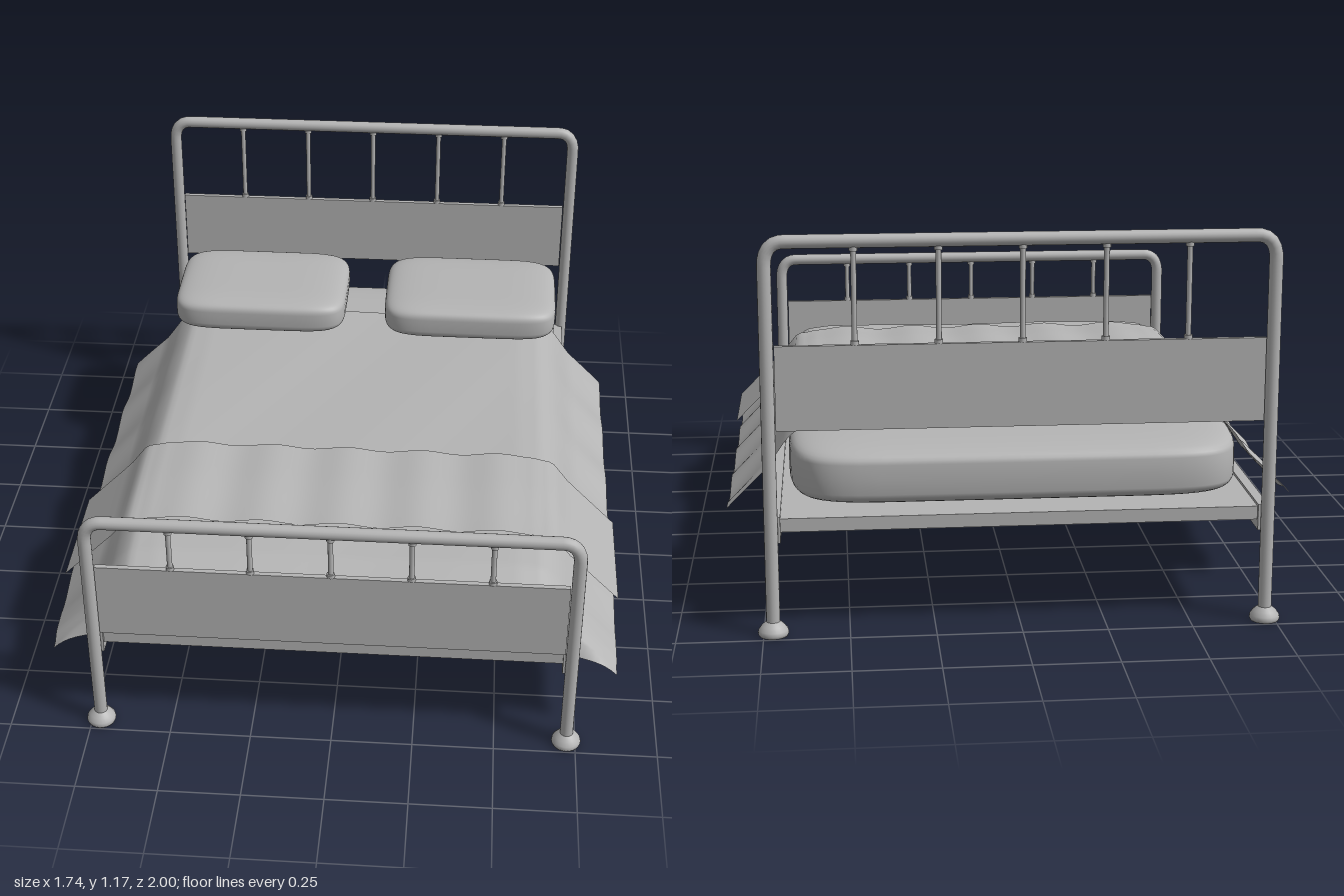
import * as THREE from 'three';
import { mergeVertices } from 'three/addons/utils/BufferGeometryUtils.js';

const grey = new THREE.MeshStandardMaterial({ color: 0xb4b4b4, side: THREE.DoubleSide });
grey.name = 'warmGrey';

function add(parent, name, geometry, x = 0, y = 0, z = 0) {
  const mesh = new THREE.Mesh(geometry, grey);
  mesh.name = name;
  mesh.position.set(x, y, z);
  parent.add(mesh);
  return mesh;
}

// Soft rounded cushion: a sphere squared off by a power rule
function cushion(w, h, d, side, plan) {
  const sp = (v, e) => Math.sign(v) * Math.pow(Math.abs(v), e);
  let geo = new THREE.SphereGeometry(1, 64, 32);
  const p = geo.attributes.position;
  for (let i = 0; i < p.count; i++) {
    const x = p.getX(i), y = p.getY(i), z = p.getZ(i);
    const r = Math.hypot(x, z), k = r < 1e-5 ? 0 : sp(r, side);
    const c = r < 1e-5 ? 0 : x / r, s = r < 1e-5 ? 0 : z / r;
    p.setXYZ(i, k * sp(c, plan) * w / 2, sp(y, side) * h / 2, k * sp(s, plan) * d / 2);
  }
  geo.deleteAttribute('uv');
  geo.deleteAttribute('normal');
  geo = mergeVertices(geo, 1e-4);
  geo.computeVertexNormals();
  return geo;
}

// Linear lookup through [input, output] pairs
function lookup(points, t) {
  for (let i = 1; i < points.length; i++) {
    const [a, va] = points[i - 1], [b, vb] = points[i];
    if (t <= b) return va + (vb - va) * Math.max(0, (t - a) / (b - a));
  }
  return points[points.length - 1][1];
}

// Draped cloth: flat grid lifted by a height rule
function cloth(halfWidth, z0, z1, nx, nz, height) {
  const geo = new THREE.PlaneGeometry(halfWidth * 2, z1 - z0, nx, nz);
  geo.rotateX(-Math.PI / 2);
  geo.translate(0, 0, (z0 + z1) / 2);
  const p = geo.attributes.position;
  for (let i = 0; i < p.count; i++) p.setY(i, height(p.getX(i), p.getZ(i)));
  geo.computeVertexNormals();
  return geo;
}

// Bent tube end frame with feet, panel and spindles
function endFrame(name, z, top, panelBottom, panelTop) {
  const g = new THREE.Group();
  g.name = name;
  g.position.z = z;
  const v = (x, y) => new THREE.Vector3(x, y, 0);
  const path = new THREE.CurvePath();
  const px = 0.722, rail = top - 0.02;
  path.add(new THREE.LineCurve3(v(-px, 0.02), v(-px, rail - 0.06)));
  path.add(new THREE.QuadraticBezierCurve3(v(-px, rail - 0.06), v(-px + 0.004, rail - 0.004), v(-px + 0.05, rail)));
  path.add(new THREE.LineCurve3(v(-px + 0.05, rail), v(px - 0.05, rail)));
  path.add(new THREE.QuadraticBezierCurve3(v(px - 0.05, rail), v(px - 0.004, rail - 0.004), v(px, rail - 0.06)));
  path.add(new THREE.LineCurve3(v(px, rail - 0.06), v(px, 0.02)));
  add(g, 'tubeFrame', new THREE.TubeGeometry(path, 200, 0.02, 16));

  const footProfile = [[0, 0], [0.042, 0], [0.045, 0.008], [0.043, 0.018], [0.034, 0.03], [0.025, 0.038], [0.02, 0.042]]
    .map(([x, y]) => new THREE.Vector2(x, y));
  for (const s of [-1, 1]) add(g, 'foot', new THREE.LatheGeometry(footProfile, 24), s * px, 0, 0);

  add(g, 'panel', new THREE.BoxGeometry(1.4, panelTop - panelBottom, 0.016), 0, (panelTop + panelBottom) / 2, 0);
  for (let i = -2; i <= 2; i++) {
    const len = rail - panelTop;
    add(g, 'spindle', new THREE.CylinderGeometry(0.008, 0.008, len, 12), i * 0.237, panelTop + len / 2, 0);
    add(g, 'spindleCollar', new THREE.CylinderGeometry(0.012, 0.012, 0.012, 12), i * 0.237, rail - 0.022, 0);
    add(g, 'spindleCollar', new THREE.CylinderGeometry(0.012, 0.012, 0.012, 12), i * 0.237, panelTop + 0.006, 0);
  }
  return g;
}

export function createModel() {
  const bed = new THREE.Group();
  bed.name = 'bed';
  bed.add(endFrame('headboard', -0.955, 1.17, 0.61, 0.855));
  bed.add(endFrame('footboard', 0.955, 0.79, 0.36, 0.61));

  // Base platform and side rails
  add(bed, 'basePlatform', new THREE.BoxGeometry(1.39, 0.04, 1.88), 0, 0.325, 0);
  for (const s of [-1, 1]) add(bed, 'sideRail', new THREE.BoxGeometry(0.03, 0.078, 1.9), s * 0.71, 0.314, 0);

  add(bed, 'mattress', cushion(1.35, 0.2, 1.8, 0.35, 0.22), 0, 0.445, -0.02);

  // Blanket with sloping, rippled sides and a rounded foot end
  const section = [[0, 0.555], [0.55, 0.555], [0.63, 0.546], [0.68, 0.5], [0.74, 0.41], [0.863, 0.283]];
  const footDrop = [[0.68, 0], [0.78, 0.008], [0.86, 0.03], [0.895, 0.06], [0.908, 0.15]];
  add(bed, 'blanket', cloth(0.863, -0.65, 0.908, 100, 120, (x, z) => {
    const ax = Math.abs(x);
    const wing = THREE.MathUtils.smoothstep(ax, 0.64, 0.86);
    const ripple = wing * 0.011 * Math.sin((z - 0.2) * 21) + 0.002 * Math.sin(x * 9 + z * 5);
    const drop = lookup(footDrop, z);
    return lookup(section, ax) + ripple - THREE.MathUtils.lerp(drop, Math.min(drop, 0.05), wing);
  }));

  // Folded throw across the foot of the bed
  const throwSection = [[0, 0.578], [0.6, 0.578], [0.66, 0.558], [0.71, 0.49], [0.872, 0.325]];
  add(bed, 'throw', cloth(0.872, 0.255, 0.648, 110, 16, (x, z) => {
    const ax = Math.abs(x);
    const flat = 1 - THREE.MathUtils.smoothstep(ax, 0.6, 0.75);
    return lookup(throwSection, ax) + flat * 0.006 * Math.cos(x * 26)
      - 0.012 * flat * THREE.MathUtils.smoothstep(z, 0.4, 0.65);
  }));

  for (const s of [-1, 1]) {
    add(bed, s > 0 ? 'leftPillow' : 'rightPillow', cushion(0.61, 0.13, 0.43, 0.45, 0.34), s * 0.375, 0.632, -0.652);
  }
  return bed;
}
